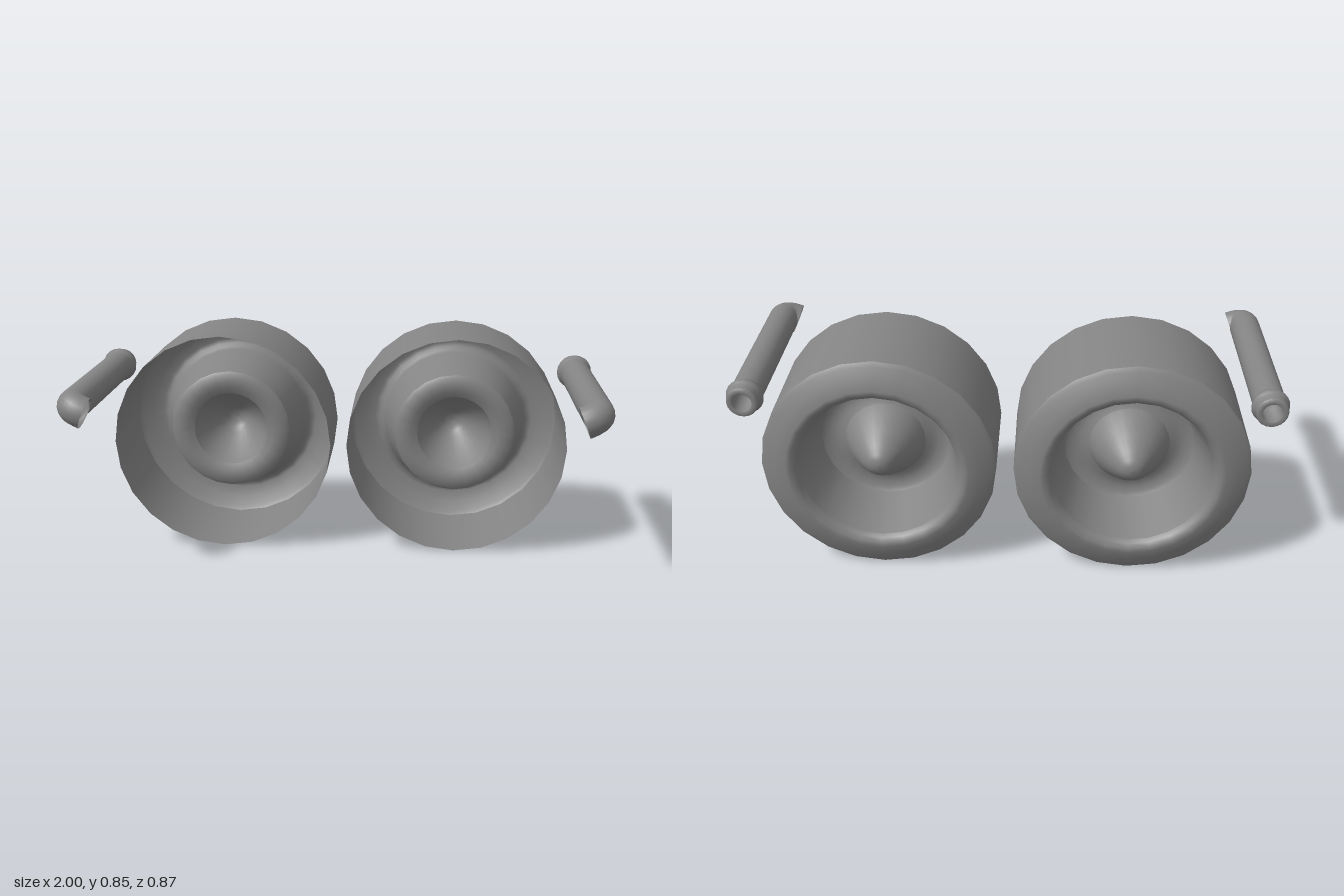
import * as THREE from 'three';

const material = new THREE.MeshStandardMaterial({ color: 0x848484, side: THREE.DoubleSide });

// Turns a [radius, z] profile around the z axis
function turned(name, profile, segments) {
  const points = profile.map(([r, z]) => new THREE.Vector2(r, z));
  const geometry = new THREE.LatheGeometry(points, segments).rotateX(Math.PI / 2);
  const mesh = new THREE.Mesh(geometry, material);
  mesh.name = name;
  return mesh;
}

// Open drum with a rounded rear lip, tapered throat and a hollow centre cone
function createNozzle(side) {
  const nozzle = new THREE.Group();
  nozzle.name = side > 0 ? 'leftNozzle' : 'rightNozzle';
  nozzle.add(
    turned('shell', [[0.424, -0.39], [0.424, 0.009]], 24),
    turned('rearLip', [[0.29, -0.405], [0.298, -0.421], [0.312, -0.432], [0.33, -0.435],
      [0.37, -0.42], [0.41, -0.401], [0.424, -0.39]], 24),
    turned('throat', [[0.24, -0.2], [0.29, -0.405]], 24),
    turned('floorRing', [[0.15, -0.2], [0.175, -0.188], [0.2, -0.185], [0.225, -0.19], [0.24, -0.2]], 24),
    turned('centreCone', [[0, -0.392], [0.02, -0.39], [0.04, -0.38], [0.065, -0.353],
      [0.1, -0.3], [0.133, -0.243], [0.15, -0.2]], 24)
  );
  nozzle.position.set(side * 0.455, 0.4255, 0);
  return nozzle;
}

// Side pipe with a rear collar and a front elbow turned inward and down
function createPipe(side) {
  const pipe = new THREE.Group();
  pipe.name = side > 0 ? 'leftPipe' : 'rightPipe';
  const elbowCurve = new THREE.QuadraticBezierCurve3(
    new THREE.Vector3(0, 0, 0.33),
    new THREE.Vector3(0, 0, 0.378),
    new THREE.Vector3(-side * 0.051, -0.021, 0.378)
  );
  const elbow = new THREE.Mesh(new THREE.TubeGeometry(elbowCurve, 10, 0.058, 20), material);
  elbow.name = 'elbow';
  pipe.add(
    turned('straightPipe', [[0.058, -0.29], [0.058, 0.33]], 20),
    turned('collar', [[0.057, -0.36], [0.058, -0.335], [0.064, -0.325], [0.068, -0.315],
      [0.064, -0.305], [0.058, -0.29]], 20),
    turned('rearRim', [[0.036, -0.365], [0.05, -0.37], [0.057, -0.36]], 20),
    turned('bore', [[0, -0.27], [0.036, -0.27], [0.036, -0.365]], 20),
    elbow
  );
  pipe.position.set(side * 0.932, 0.66, 0);
  return pipe;
}

export function createModel() {
  const model = new THREE.Group();
  model.name = 'twinNozzles';
  for (const side of [1, -1]) model.add(createNozzle(side), createPipe(side));
  return model;
}
